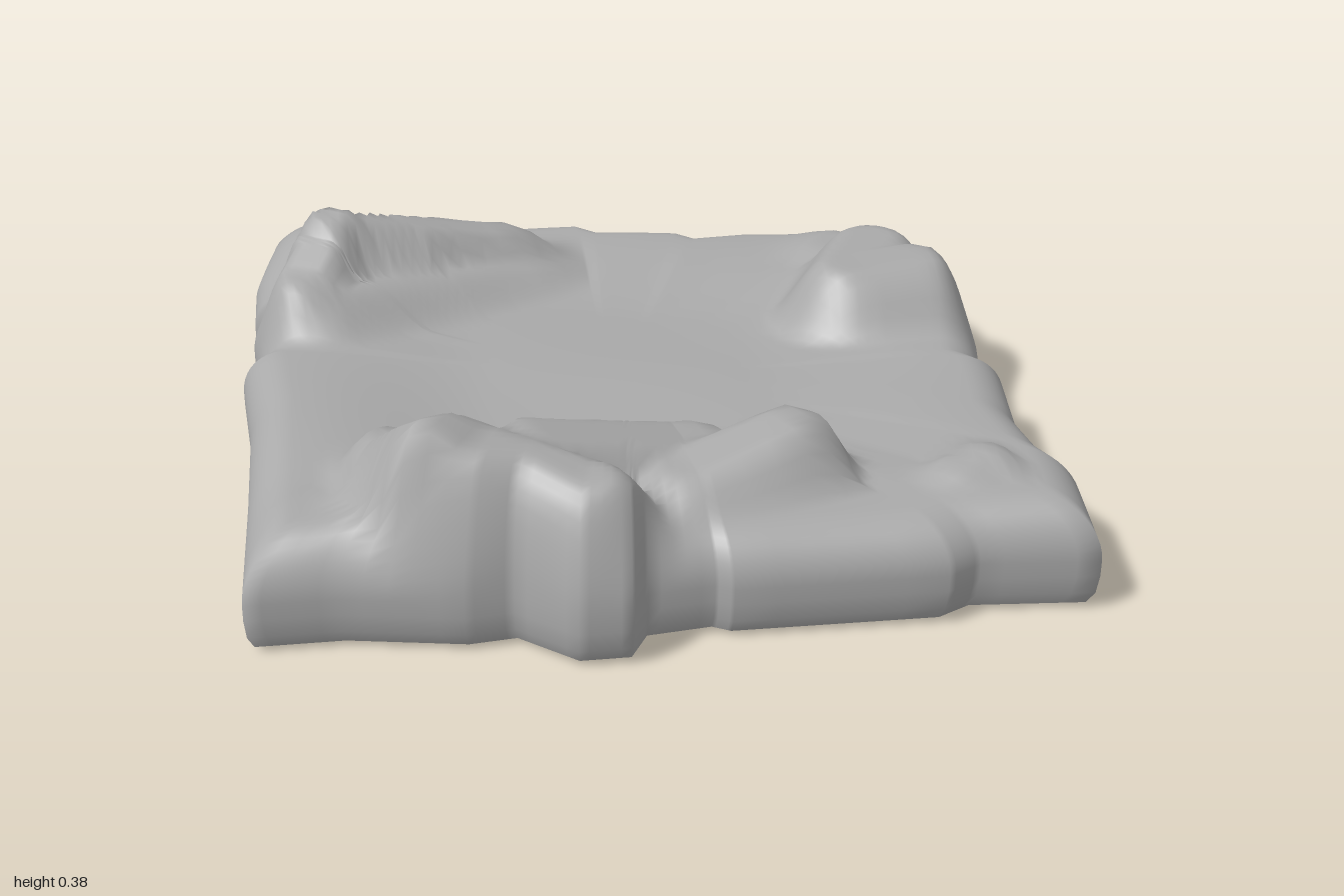
import * as THREE from 'three';

// Slab outline as [x, z], running back -> left -> front -> right
const OUTLINE = [
  [-0.25, -1], [-0.1, -0.9], [0, -0.87], [0.34, -0.66], [0.36, -0.6], [0.52, -0.49], [0.54, -0.44],
  [0.66, -0.4], [0.86, -0.28], [0.86, -0.2], [0.9, -0.1], [0.83, 0.03], [0.82, 0.1], [0.72, 0.28],
  [0.64, 0.38], [0.65, 0.43], [0.53, 0.6], [0.47, 0.75], [0.46, 0.83], [0.35, 0.99], [0.17, 0.88],
  [0.1, 0.88], [-0.23, 0.71], [-0.25, 0.68], [-0.36, 0.64], [-0.42, 0.68], [-0.5, 0.64], [-0.55, 0.52],
  [-0.63, 0.49], [-0.8, 0.36], [-0.94, 0.29], [-0.8, 0.02], [-0.68, -0.22], [-0.59, -0.44],
  [-0.54, -0.46], [-0.49, -0.6], [-0.43, -0.64], [-0.44, -0.7], [-0.38, -0.82],
];

// Boulders: ridge from x1,z1 (height h1) to x2,z2 (height h2) with radius r
const BOULDERS = [
  [-0.6, 0.2, 0.28, -0.61, 0.35, 0.385, 0.13], // front right peak
  [-0.58, 0.36, 0.36, -0.43, 0.55, 0.31, 0.17],
  [-0.42, 0.38, 0.32, -0.12, 0.42, 0.24, 0.15],
  [-0.2, 0.52, 0.25, 0, 0.56, 0.3, 0.14],
  [-0.42, -0.5, 0.29, -0.3, -0.59, 0.37, 0.13], // back ridge
  [-0.3, -0.59, 0.365, 0.08, -0.53, 0.27, 0.12],
  [-0.38, -0.5, 0.27, 0.08, -0.5, 0.22, 0.17],
  [0.53, 0.09, 0.3, 0.66, 0.0, 0.3, 0.17], // left mound
  [0.55, 0.1, 0.3, 0.66, 0.14, 0.305, 0.17],
  [-0.2, -0.8, 0.23, -0.2, -0.74, 0.23, 0.18], // low swells
  [-0.78, 0.26, 0.21, -0.66, 0.3, 0.23, 0.16],
  [0.24, 0.74, 0.215, 0.3, 0.74, 0.225, 0.08],
  [0.72, -0.18, 0.21, 0.76, -0.1, 0.22, 0.14],
];

const smooth = THREE.MathUtils.smoothstep;

// Height of the rock surface above the ground
function surfaceHeight(x, z, s) {
  const floor = 0.165 + 0.03 * smooth(s, 0.35, 0.85) + 0.006 * Math.sin(7 * x + 2 * z) * Math.sin(6 * z - 3 * x);
  let y = floor;
  for (const [x1, z1, h1, x2, z2, h2, r] of BOULDERS) {
    const dx = x2 - x1, dz = z2 - z1;
    const t = THREE.MathUtils.clamp(((x - x1) * dx + (z - z1) * dz) / (dx * dx + dz * dz), 0, 1);
    const d = Math.hypot(x - x1 - t * dx, z - z1 - t * dz) / r;
    y = Math.max(y, floor + (h1 + (h2 - h1) * t - floor) * (1 - smooth(d, 0.3, 1)));
  }
  return y;
}

// Outline with each edge split into short steps
function denseOutline(steps) {
  return OUTLINE.flatMap(([x, z], i) => {
    const [x2, z2] = OUTLINE[(i + 1) % OUTLINE.length];
    return Array.from({ length: steps }, (_, k) => [x + (x2 - x) * k / steps, z + (z2 - z) * k / steps]);
  });
}

// Joins rings of scaled outlines; each ring is { s: scale, y: number or function }
function ringSurface(outline, rings) {
  const n = outline.length, positions = [], index = [];
  rings.forEach(({ s, y }, i) => {
    outline.forEach(([ox, oz], j) => {
      const x = ox * s, z = oz * s;
      positions.push(x, typeof y === 'function' ? y(x, z) : y, z);
      if (i === 0) return;
      const c = i * n + j, d = i * n + (j + 1) % n, a = c - n, b = d - n;
      index.push(a, d, c, a, b, d);
    });
  });
  const geometry = new THREE.BufferGeometry();
  geometry.setAttribute('position', new THREE.Float32BufferAttribute(positions, 3));
  geometry.setIndex(index);
  geometry.computeVertexNormals();
  return geometry;
}

export function createModel() {
  const group = new THREE.Group();
  group.name = 'rockPlatform';
  const stone = new THREE.MeshStandardMaterial({ color: 0xaaaaaa });
  stone.name = 'grey stone';
  stone.side = THREE.DoubleSide;
  const outline = denseOutline(5);

  const add = (name, geometry) => {
    const mesh = new THREE.Mesh(geometry, stone);
    mesh.name = name;
    group.add(mesh);
  };

  // Top surface, rounding over the rim into the side walls
  const rings = [];
  for (let i = 0; i <= 36; i++) {
    const s = 0.88 * i / 36;
    rings.push({ s, y: (x, z) => surfaceHeight(x, z, s) });
  }
  for (let i = 1; i <= 10; i++) {
    const u = Math.sin(i / 10 * Math.PI / 2);
    const s = 0.88 + 0.12 * u;
    rings.push({ s, y: (x, z) => 0.1 + (surfaceHeight(x, z, s) - 0.1) * Math.sqrt(Math.max(0, 1 - u * u)) });
  }
  rings.push({ s: 1, y: 0.07 }, { s: 0.995, y: 0.035 }, { s: 0.98, y: 0.01 });
  add('rockSurface', ringSurface(outline, rings));

  // Flat underside
  add('underside', ringSurface(outline, [{ s: 0.98, y: 0.01 }, { s: 0.9, y: 0.002 }, { s: 0, y: 0 }]));

  // Thin shard sticking out of the left edge
  const shard = new THREE.BufferGeometry();
  shard.setAttribute('position', new THREE.Float32BufferAttribute([
    0.84, 0.07, -0.23, 0.85, 0.07, -0.12, 0.94, 0.05, -0.15,
  ], 3));
  shard.computeVertexNormals();
  add('edgeShard', shard);

  return group;
}
